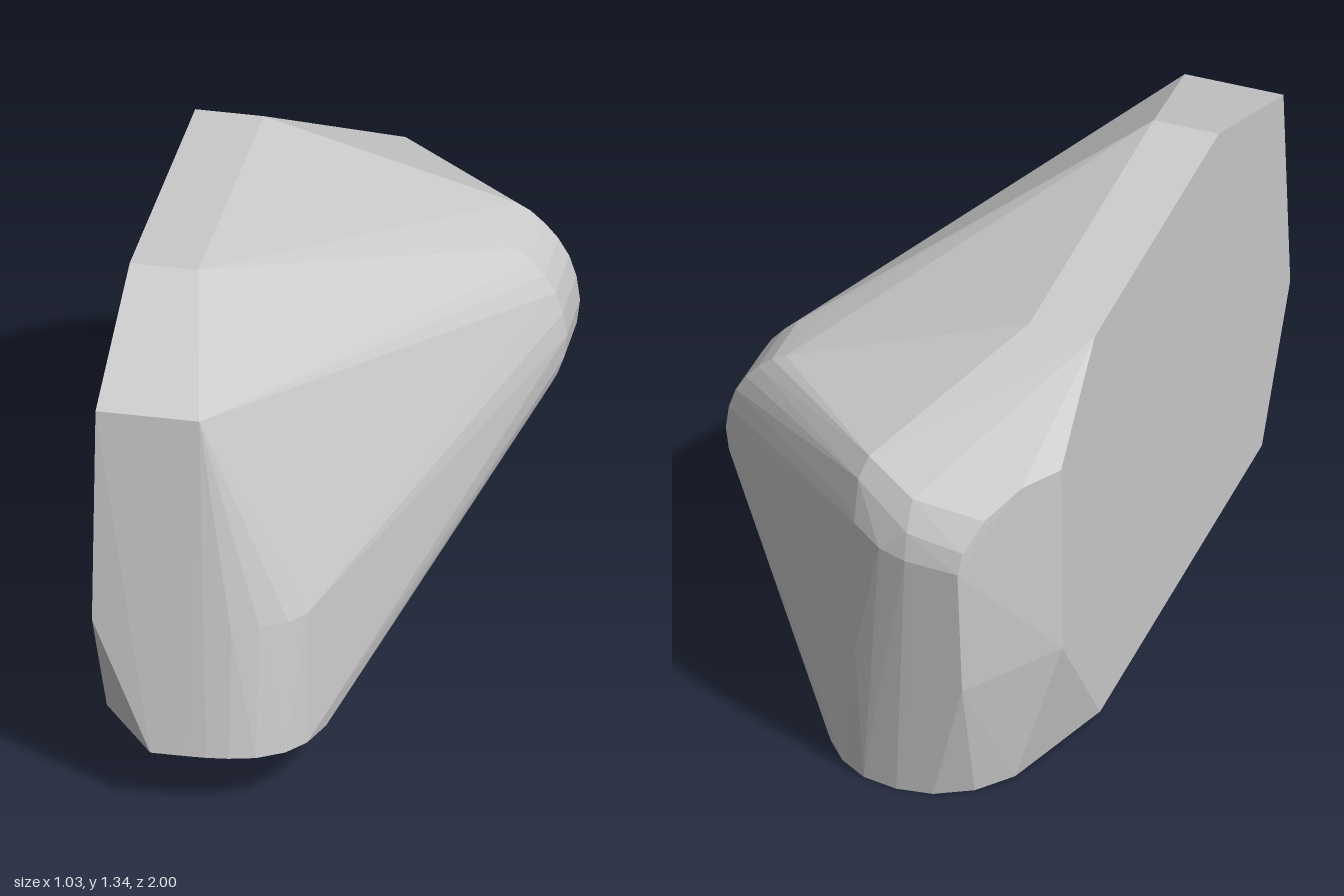
import * as THREE from 'three';
import { ConvexGeometry } from 'three/addons/geometries/ConvexGeometry.js';

// The solid is the convex skin stretched over a handful of profile curves.
export function createModel() {
  const group = new THREE.Group();
  group.name = 'facetedBlock';
  const points = [];
  const add = (...list) => list.forEach(([x, y, z]) => points.push(new THREE.Vector3(x, y, z)));
  const flatX = -0.515;

  // sloping base outline, given as x, z
  const base = [
    [-0.35, 1.0], [-0.26, 1.0], [-0.2, 0.998], [-0.14, 0.99], [-0.07, 0.97], [0, 0.92], [0.045, 0.85], [0.075, 0.74],
    [0.15, -0.65], [0.145, -0.72], [0.12, -0.79], [0.06, -0.86], [-0.02, -0.91], [-0.12, -0.93],
    [-0.22, -0.92], [-0.32, -0.87], [-0.4, -0.78], [flatX, -0.45], [flatX, 0.75],
  ];
  add(...base.map(([x, z]) => [x, 0.089 + 0.0907 * z, z]));

  // flat side and top ridges
  add([flatX, 0.55, 0.96], [flatX, 1.17, 0.91], [flatX, 1.34, 0.43], [flatX, 1.26, -0.49],
    [flatX, 0.99, -0.74], [flatX, 0.42, -0.73]);
  add([-0.235, 1.17, 0.91], [-0.33, 1.34, 0.43], [-0.33, 1.26, -0.49]);

  // rounded front corner
  add([-0.14, 0.55, 0.955], [-0.07, 0.56, 0.925], [0, 0.55, 0.875], [0.04, 0.55, 0.82]);

  // side bulge: an arc swept along z
  const bulge = [[0.34, 1.035], [0.38, 1.015], [0.42, 0.98], [0.455, 0.94], [0.485, 0.89], [0.505, 0.83],
    [0.515, 0.76], [0.507, 0.69], [0.49, 0.64], [0.47, 0.6]];
  bulge.forEach(([x, y]) => add([x, y, -0.35], [x, y, -0.535 - 0.04 * (y - 0.76)]));

  // rounded upper rear edge, then the lower end of the rear corner
  add([-0.02, 1.0, -0.87], [-0.44, 0.975, -0.84], [-0.37, 0.91, -0.93], [-0.33, 0.83, -0.985],
    [-0.32, 0.77, -1], [-0.17, 0.78, -1], [-0.17, 0.86, -0.985], [-0.17, 0.94, -0.94],
    [-0.09, 0.79, -0.98], [0, 0.82, -0.93], [0.03, 0.85, -0.9], [0, 0.94, -0.9]);
  add([-0.32, 0.38, -0.965], [-0.17, 0.4, -0.966], [-0.09, 0.41, -0.955], [0, 0.42, -0.925], [0.05, 0.44, -0.885]);

  const body = new THREE.Mesh(
    new ConvexGeometry(points),
    new THREE.MeshStandardMaterial({ color: 0xcccccc, flatShading: true })
  );
  body.name = 'body';
  group.add(body);
  return group;
}
